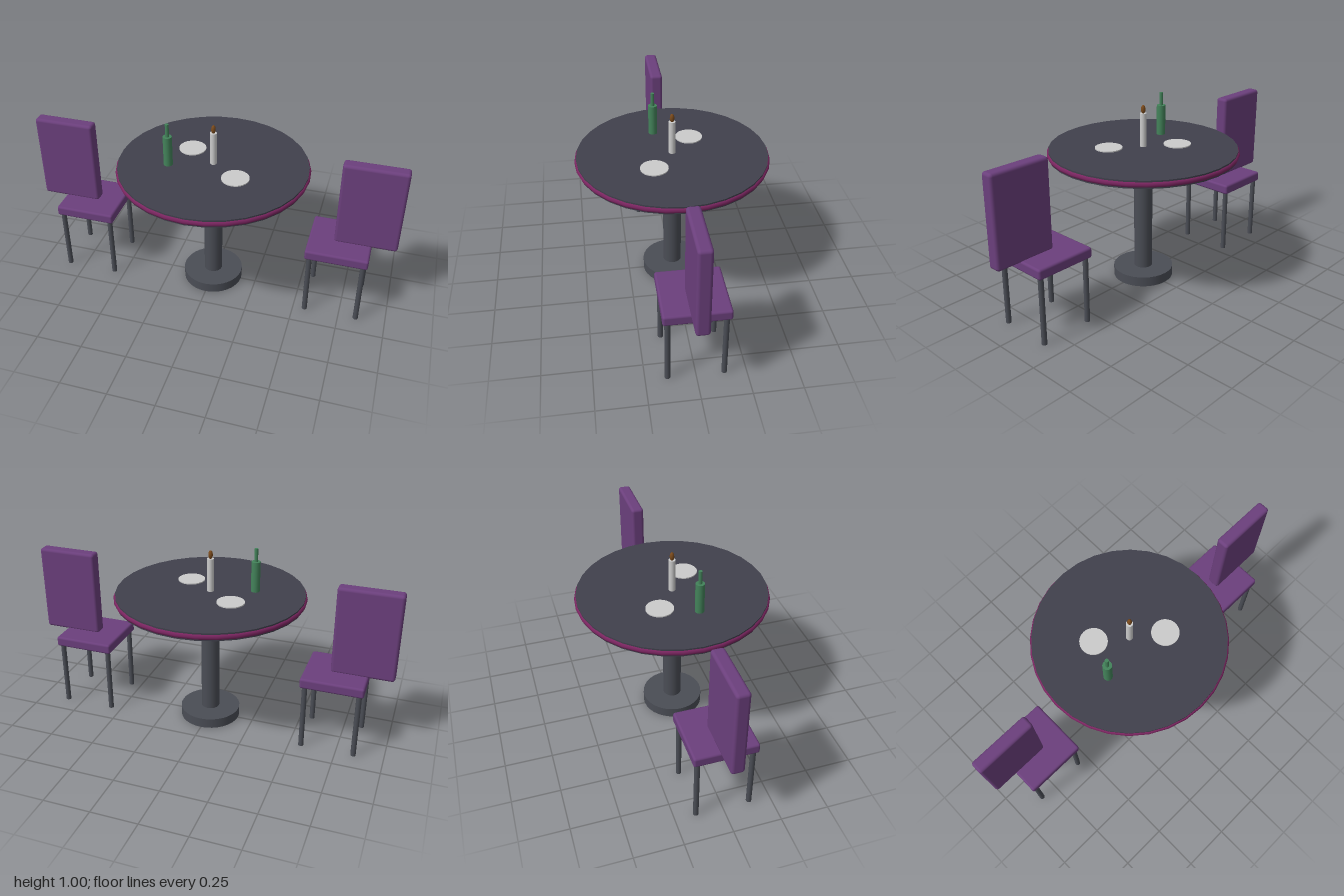
import * as THREE from 'three';
import { RoundedBoxGeometry } from 'three/addons/geometries/RoundedBoxGeometry.js';

const mat = (color) => new THREE.MeshStandardMaterial({ color });
const purple = mat(0x6b3f7c);
const metal = mat(0x4a4d55);
const topDark = mat(0x40404c);
const trim = mat(0x7a2560);
const white = mat(0xdddddd);
const green = mat(0x43835a);
const flameColor = mat(0x7a4a1c);

function add(parent, name, geometry, material, x, y, z) {
  const mesh = new THREE.Mesh(geometry, material);
  mesh.name = name;
  mesh.position.set(x, y, z);
  parent.add(mesh);
  return mesh;
}

// Upright cylinder given by its bottom and top heights
function post(parent, name, radius, y0, y1, material, x = 0, z = 0, sides = 24) {
  const geometry = new THREE.CylinderGeometry(radius, radius, y1 - y0, sides);
  return add(parent, name, geometry, material, x, (y0 + y1) / 2, z);
}

function makeTable() {
  const table = new THREE.Group();
  table.name = 'table';
  post(table, 'base', 0.165, 0.005, 0.06, metal, 0, 0, 32);
  post(table, 'pedestal', 0.05, 0.06, 0.722, metal);
  post(table, 'tabletop', 0.503, 0.722, 0.763, topDark, 0, 0, 32);
  const rim = new THREE.TorusGeometry(0.496, 0.016, 8, 32).rotateX(Math.PI / 2);
  add(table, 'tableRim', rim, trim, 0, 0.742, 0);
  return table;
}

// side: +1 or -1 along x
function makeChair(side) {
  const chair = new THREE.Group();
  chair.name = side > 0 ? 'leftChair' : 'rightChair';
  const cx = side * 0.703;
  add(chair, 'seat', new RoundedBoxGeometry(0.33, 0.056, 0.33, 3, 0.012), purple, cx, 0.391, 0);
  add(chair, 'backrest', new RoundedBoxGeometry(0.33, 0.478, 0.07, 3, 0.016), purple, side * 0.835, 0.65, 0);
  for (const dx of [-0.14, 0.14])
    for (const dz of [-0.14, 0.14])
      post(chair, 'leg', 0.014, 0.003, 0.37, metal, cx + dx, dz, 12);
  return chair;
}

function makeTableware() {
  const ware = new THREE.Group();
  ware.name = 'tableware';
  // Plates
  for (const s of [-1, 1]) post(ware, 'plate', 0.073, 0.762, 0.769, white, s * 0.148, s * 0.111, 32);
  // Bottle
  post(ware, 'bottleBody', 0.024, 0.763, 0.929, green, -0.224, 0.075, 16);
  post(ware, 'bottleNeck', 0.01, 0.929, 1.0, green, -0.224, 0.075, 12);
  // Candle
  post(ware, 'candle', 0.018, 0.763, 0.945, white, 0, 0, 16);
  const flame = add(ware, 'flame', new THREE.SphereGeometry(0.012, 12, 10), flameColor, 0, 0.965, 0);
  flame.scale.y = 2;
  return ware;
}

export function createModel() {
  const model = new THREE.Group();
  model.name = 'diningSet';
  model.add(makeTable(), makeChair(-1), makeChair(1), makeTableware());
  return model;
}
